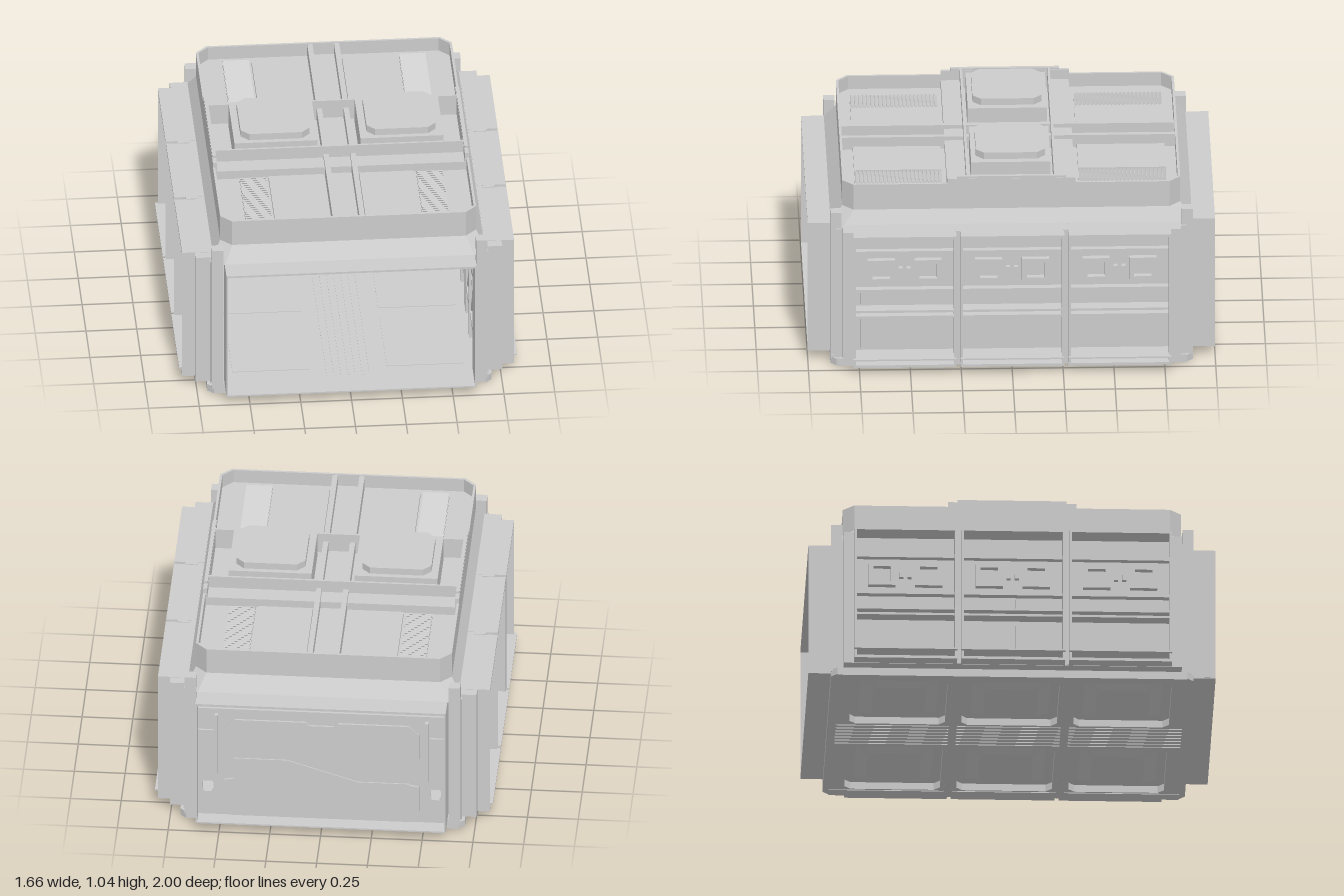
import * as THREE from 'three';
import { ConvexGeometry } from 'three/addons/geometries/ConvexGeometry.js';

const mat = new THREE.MeshStandardMaterial({ color: 0xcccccc, flatShading: true, side: THREE.DoubleSide });

function add(parent, name, geo) {
  const m = new THREE.Mesh(geo, mat);
  m.name = name;
  parent.add(m);
  return m;
}

// Box from its limits on each axis
function box(parent, name, x0, x1, y0, y1, z0, z1) {
  const m = add(parent, name, new THREE.BoxGeometry(x1 - x0, y1 - y0, z1 - z0));
  m.position.set((x0 + x1) / 2, (y0 + y1) / 2, (z0 + z1) / 2);
  return m;
}

// Rectangle with cut corners
const octagon = (hx, hz, c) => [
  [hx, hz - c], [hx - c, hz], [c - hx, hz], [-hx, hz - c],
  [-hx, c - hz], [c - hx, -hz], [hx - c, -hz], [hx, c - hz]];

// Tapered cut-corner block between two levels; a and b are [hx, hz, cut]
function frustum(parent, name, y0, a, y1, b, x = 0, z = 0) {
  const ring = (o, y) => octagon(...o).map(([px, pz]) => new THREE.Vector3(px + x, y, pz + z));
  return add(parent, name, new ConvexGeometry([...ring(a, y0), ...ring(b, y1)]));
}

const vecs = (pts, x = 0, z = 0) => pts.map(p => new THREE.Vector2(p[0] + x, p[1] + z));

// Plate lying flat, extruded upward from y0 to y1
function plate(parent, name, outline, holes, y0, y1) {
  const shape = new THREE.Shape(vecs(outline));
  shape.holes = holes.map(h => new THREE.Path(h));
  const geo = new THREE.ExtrudeGeometry(shape, { depth: y1 - y0, bevelEnabled: false });
  geo.rotateX(-Math.PI / 2).translate(0, y0, 0);
  return add(parent, name, geo);
}

function buildBase() {
  const g = new THREE.Group();
  g.name = 'base';
  const pockets = [];
  for (const x of [-0.38, 0.38]) for (const z of [-0.55, 0, 0.55]) pockets.push([x, z]);
  const openings = pockets.map(([x, z]) => vecs(octagon(0.25, 0.235, 0.03), x, z));
  plate(g, 'underFrame', octagon(0.7, 0.89, 0.03), openings, 0.004, 0.04);
  box(g, 'floor', -0.68, 0.68, 0.04, 0.052, -0.89, 0.89);
  for (const [x, z] of pockets) {
    frustum(g, 'underPad', 0.01, [0.15, 0.13, 0.03], 0.04, [0.21, 0.19, 0.03], x, z);
    box(g, 'floorPanel', x - 0.19, x + 0.19, 0.052, 0.055, z - 0.23, z + 0.23);
  }
  for (let i = -3; i <= 3; i++) {
    box(g, 'underRail', i * 0.035 - 0.008, i * 0.035 + 0.008, 0, 0.006, -0.85, 0.85);
    box(g, 'floorRib', i * 0.035 - 0.006, i * 0.035 + 0.006, 0.052, 0.055, -0.8, 0.85);
  }
  for (const s of [-1, 1]) {
    box(g, 'underRail', -0.7, 0.7, 0, 0.006, s * 0.275 - 0.02, s * 0.275 + 0.02);
    box(g, 'underRail', s * 0.67 - 0.03, s * 0.67 + 0.03, 0, 0.006, -0.86, 0.86);
  }
  return g;
}

// One long side, facing +x
function buildSide() {
  const g = new THREE.Group();
  g.name = 'sideWall';
  box(g, 'wall', 0.64, 0.715, 0.05, 0.74, -0.83, 0.83);
  box(g, 'wallEave', 0.66, 0.755, 0.735, 0.748, -0.83, 0.83);
  box(g, 'wallSill', 0.66, 0.755, 0.04, 0.055, -0.83, 0.83);
  for (const s of [-1, 1]) {
    box(g, 'endPlate', 0.66, 0.755, 0.045, 0.745, s * 0.805 - 0.025, s * 0.805 + 0.025);
    box(g, 'divider', 0.7, 0.76, 0.045, 0.754, s * 0.265 - 0.014, s * 0.265 + 0.014);
  }
  for (const [z0, z1] of [[-0.78, -0.275], [-0.255, 0.255], [0.275, 0.78]]) {
    const c = (z0 + z1) / 2;
    box(g, 'bayRoof', 0.67, 0.817, 0.735, 0.75, z0, z1);
    box(g, 'baySill', 0.67, 0.817, 0.042, 0.056, z0, z1);
    box(g, 'bayLip', 0.715, 0.832, 0.086, 0.094, z0, z1);
    box(g, 'bayEnd', 0.7, 0.817, 0.045, 0.74, z0, z0 + 0.012);
    box(g, 'bayEnd', 0.7, 0.817, 0.045, 0.74, z1 - 0.012, z1);
    for (const [y0, y1, x] of [[0.293, 0.305, 0.78], [0.323, 0.335, 0.78], [0.42, 0.435, 0.75], [0.62, 0.64, 0.745]])
      box(g, 'bayRail', 0.7, x, y0, y1, z0, z1);
    for (const s of [-1, 1]) {
      const z = c + s * 0.115;
      box(g, 'lowerPanel', 0.7, 0.728, 0.11, 0.27, z - 0.1, z + 0.1);
      box(g, 'middlePanel', 0.7, 0.728, 0.345, 0.41, z - 0.1, z + 0.1);
      // Small square window frame
      for (const t of [-1, 1]) {
        box(g, 'windowFrame', 0.7, 0.745, 0.47, 0.59, z + t * 0.055 - 0.012, z + t * 0.055 + 0.012);
        box(g, 'windowFrame', 0.7, 0.745, 0.53 + t * 0.05 - 0.01, 0.53 + t * 0.05 + 0.01, z - 0.06, z + 0.06);
      }
      box(g, 'windowLatch', 0.7, 0.74, 0.515, 0.545, c + s * 0.02 - 0.01, c + s * 0.02 + 0.01);
      // Inner cross braces
      for (const t of [-1, 1]) {
        const brace = box(g, 'innerBrace', 0.622, 0.642, 0.34, 0.36, z - 0.17, z + 0.17);
        brace.rotation.x = t * 0.92;
      }
    }
    for (const z of [z0 + 0.02, c, z1 - 0.02]) box(g, 'innerColumn', 0.614, 0.645, 0.05, 0.735, z - 0.015, z + 0.015);
    box(g, 'innerRail', 0.617, 0.645, 0.19, 0.21, z0, z1);
    box(g, 'innerRail', 0.617, 0.645, 0.5, 0.52, z0, z1);
  }
  return g;
}

function buildPortal(name, s) {
  const g = new THREE.Group();
  g.name = name;
  const z0 = Math.min(s * 0.83, s), z1 = Math.max(s * 0.83, s);
  for (const t of [-1, 1]) box(g, 'portalJamb', t * 0.612 - 0.004, t * 0.612 + 0.004, 0.05, 0.738, z0, z1);
  box(g, 'portalHood', -0.615, 0.615, 0.728, 0.738, z0, z1);
  box(g, 'portalSill', -0.615, 0.615, 0.046, 0.054, z0, z1);
  return g;
}

// Closed end with a cut-corner door and two slots
function buildDoor() {
  const g = new THREE.Group();
  g.name = 'doorWall';
  const wall = new THREE.Shape(vecs([[-0.61, 0.05], [0.61, 0.05], [0.61, 0.735], [-0.61, 0.735]]));
  for (const s of [-1, 1]) wall.holes.push(new THREE.Path(vecs(octagon(0.027, 0.03, 0.008), s * 0.56, 0.215)));
  const slab = (nm, shape, z, d) => add(g, nm, new THREE.ExtrudeGeometry(shape, { depth: d, bevelEnabled: false }).translate(0, 0, z));
  slab('wall', wall, -0.92, 0.02);
  // Door leaves meet along a stepped seam
  const upper = [[-0.43, 0.281], [-0.18, 0.281], [0.17, 0.391], [0.43, 0.391], [0.43, 0.41], [0.48, 0.42], [0.48, 0.56],
    [0.43, 0.61], [0.08, 0.61], [0.06, 0.592], [-0.06, 0.592], [-0.08, 0.61], [-0.43, 0.61], [-0.48, 0.56], [-0.48, 0.42], [-0.43, 0.41]];
  const lower = [[-0.43, 0.277], [-0.18, 0.277], [0.17, 0.387], [0.43, 0.387], [0.43, 0.27], [0.48, 0.26], [0.48, 0.12],
    [0.44, 0.1], [0.44, 0.058], [-0.44, 0.058], [-0.44, 0.1], [-0.48, 0.12], [-0.48, 0.26], [-0.43, 0.27]];
  slab('upperDoor', new THREE.Shape(vecs(upper)), -0.93, 0.04);
  slab('lowerDoor', new THREE.Shape(vecs(lower)), -0.93, 0.04);
  for (const s of [-1, 1]) {
    box(g, 'doorTrack', s * 0.518 - 0.008, s * 0.518 + 0.008, 0.305, 0.64, -0.945, -0.88);
    box(g, 'controlPanel', s * 0.572 - 0.04, s * 0.572 + 0.04, 0.305, 0.545, -0.93, -0.89);
  }
  box(g, 'doorHeader', -0.61, 0.61, 0.67, 0.685, -0.95, -0.87);
  box(g, 'doorHeader', -0.61, 0.61, 0.7, 0.728, -0.96, -0.86);
  return g;
}

function buildRoof() {
  const g = new THREE.Group();
  g.name = 'roof';
  frustum(g, 'roofSkirt', 0.735, [0.675, 0.89, 0.06], 0.815, [0.63, 0.83, 0.055]);
  plate(g, 'parapet', octagon(0.63, 0.83, 0.055), [vecs(octagon(0.618, 0.818, 0.05))], 0.81, 0.95);
  plate(g, 'roofDeck', octagon(0.62, 0.82, 0.05), [], 0.81, 0.88);
  for (const s of [-1, 1]) {
    // Stepped saddle over the parapet
    box(g, 'saddle', s * 0.62 - 0.01, s * 0.62 + 0.01, 0.87, 0.975, -0.315, 0.315);
    box(g, 'saddleCap', s * 0.62 - 0.009, s * 0.62 + 0.009, 0.97, 0.988, -0.267, 0.267);
    box(g, 'crossBeam', -0.62, 0.62, 0.87, 0.925, s * 0.262 - 0.052, s * 0.262 + 0.052);
    box(g, 'crossBar', -0.62, 0.62, 0.92, 0.988, s * 0.215 - 0.006, s * 0.215 + 0.006);
    box(g, 'centreRidge', s * 0.066 - 0.013, s * 0.066 + 0.013, 0.87, 0.945, -0.82, 0.82);
    // Rooftop unit
    box(g, 'unitBase', s * 0.31 - 0.205, s * 0.31 + 0.205, 0.87, 1.01, -0.195, 0.195);
    frustum(g, 'unitCap', 1.0, [0.17, 0.17, 0.04], 1.045, [0.17, 0.17, 0.04], s * 0.31);
    for (const t of [-1, 1]) {
      const z = t * 0.55;
      box(g, 'roofPanel', s * 0.223 - 0.135, s * 0.223 + 0.135, 0.87, 0.9, z - 0.215, z + 0.215);
      box(g, 'louverTray', s * 0.435 - 0.066, s * 0.435 + 0.066, 0.87, 0.89, z - 0.215, z + 0.215);
      for (let i = 0; i < 22; i++) {
        const slat = box(g, 'louverSlat', s * 0.435 - 0.064, s * 0.435 + 0.064, 0.895, 0.9, -0.009, 0.009);
        slat.position.z = z - 0.205 + i * 0.0195;
        slat.rotation.x = -t * 0.6;
      }
    }
  }
  box(g, 'centreChannel', -0.053, 0.053, 0.87, 0.89, -0.81, 0.81);
  return g;
}

export function createModel() {
  const model = new THREE.Group();
  model.name = 'habitatModule';
  const right = buildSide();
  right.rotation.y = Math.PI;
  model.add(buildBase(), buildSide(), right, buildPortal('frontPortal', 1), buildPortal('backPortal', -1), buildDoor(), buildRoof());
  // Ribbed corner posts
  for (const s of [-1, 1]) for (const t of [-1, 1]) {
    const post = new THREE.Group();
    post.name = 'cornerPost';
    box(post, 'postCore', 0.622, 0.678, 0.03, 0.82, 0.835, 0.89);
    box(post, 'postRib', 0.66, 0.684, 0.03, 0.735, 0.81, 0.86);
    post.scale.set(s, 1, t);
    model.add(post);
  }
  return model;
}
